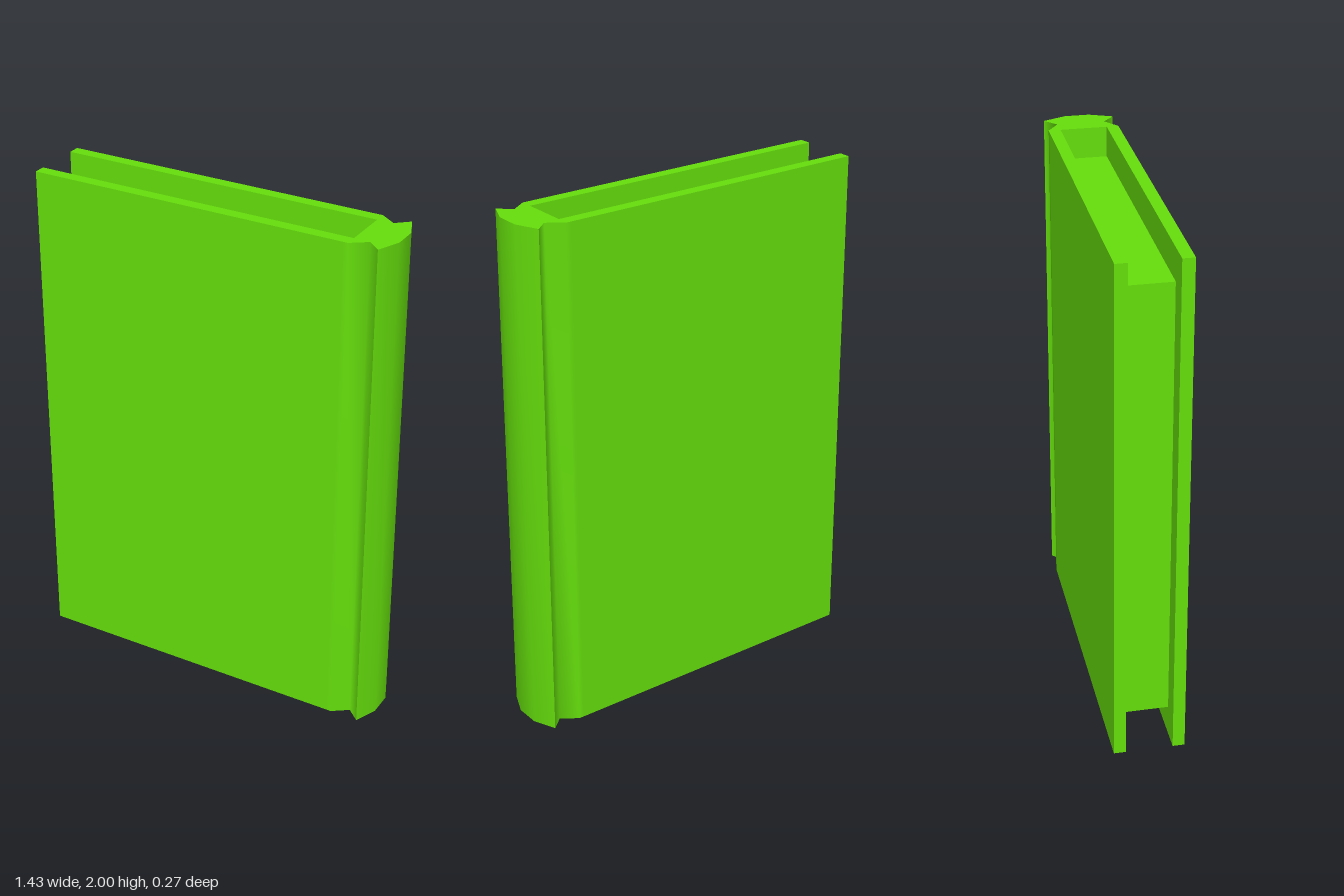
import * as THREE from 'three';
import { toCreasedNormals } from 'three/addons/utils/BufferGeometryUtils.js';

export function createModel() {
  const group = new THREE.Group();
  const green = new THREE.MeshStandardMaterial({ color: 0x66e00c });
  const height = 2, inner = 0.09, inset = 0.12;

  // Half of the cover section: inside of the spine, board, hinge groove, rounded spine
  const half = [
    [0.565, inner], [-0.715, inner], [-0.715, 0.136], [0.545, 0.136],
    [0.565, 0.136], [0.627, 0.092], [0.677, 0.136], [0.715, 0.047],
  ];
  const mirrored = half.map(([x, z]) => [x, -z]).reverse();
  const section = new THREE.Shape([...half, ...mirrored].map(([x, z]) => new THREE.Vector2(x, z)));

  // Cover: section drawn upwards, smooth over the groove and spine, sharp at right angles
  const coverGeometry = new THREE.ExtrudeGeometry(section, { depth: height, bevelEnabled: false });
  coverGeometry.rotateX(-Math.PI / 2);
  const cover = new THREE.Mesh(toCreasedNormals(coverGeometry, 1.45), green);
  cover.name = 'cover';
  group.add(cover);

  // Page block, set back from the three open edges
  const left = -0.63, right = 0.565;
  const pages = new THREE.Mesh(
    new THREE.BoxGeometry(right - left, height - 2 * inset, 2 * inner), green);
  pages.position.set((left + right) / 2, height / 2, 0);
  pages.name = 'pages';
  group.add(pages);

  return group;
}
